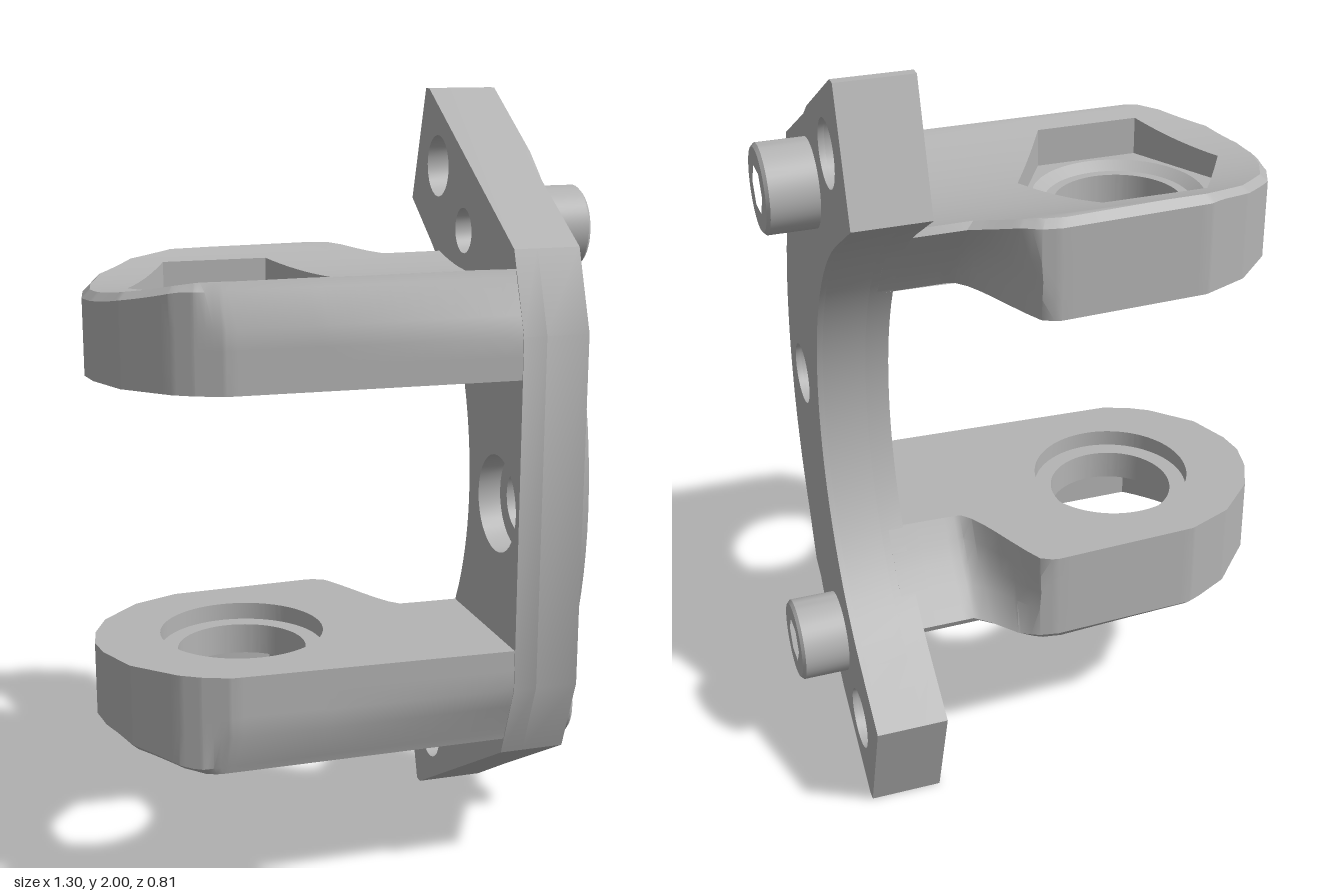
import * as THREE from 'three';
import { toCreasedNormals } from 'three/addons/utils/BufferGeometryUtils.js';

const CZ = -0.65, R_OUT = 1.055, R_IN = 0.72; // arcs of the curved plate, centred at y = 1
const arcZ = (y, r) => CZ + Math.sqrt(Math.max(0, r * r - (y - 1) ** 2));
const HOLE = [-0.275, 0.05]; // arm bore centre in x, z

// Plan outline of an arm (x, z)
const OUTLINE = [
  [0.38, -0.19], [0.2, -0.19], [0.16, -0.215], [0.1, -0.262], [0.05, -0.288], [0, -0.297],
  [-0.38, -0.28], [-0.5, -0.23], [-0.6, -0.13], [-0.64, -0.04], [-0.655, 0.04], [-0.645, 0.11],
  [-0.6, 0.22], [-0.5, 0.32], [-0.45, 0.35], [-0.38, 0.377], [0.38, 0.404],
];
const HEX = Array.from({ length: 6 }, (_, i) => {
  const a = -i * Math.PI / 3;
  return [HOLE[0] + 0.27 * Math.cos(a), HOLE[1] + 0.27 * Math.sin(a)];
});

// Distance from the bore centre to a polygon along angle a
function rayRadius(poly, a) {
  const dx = Math.cos(a), dz = Math.sin(a);
  let best = 0;
  poly.forEach((p, i) => {
    const q = poly[(i + 1) % poly.length];
    const px = p[0] - HOLE[0], pz = p[1] - HOLE[1], ex = q[0] - p[0], ez = q[1] - p[1];
    const den = dx * ez - dz * ex;
    if (Math.abs(den) < 1e-9) return;
    const t = (px * ez - pz * ex) / den, s = (px * dz - pz * dx) / den;
    if (t > 0 && s > -1e-6 && s < 1 + 1e-6) best = Math.max(best, t);
  });
  return best;
}

// Hollowed top, sloping front and the hollow that runs into the plate's inner arc
const topY = (z) => 1.605 - 0.05 * Math.max(0, 1 - ((z - 0.035) / 0.3) ** 2);
function clampZ(x, y, z) {
  const back = THREE.MathUtils.lerp(-0.32, arcZ(y, R_IN), THREE.MathUtils.smoothstep(x, 0, 0.2));
  return Math.min(Math.max(z, back), 0.405 - Math.max(0, y - 1.45) * 0.4);
}

// Arm: a closed radial section swept round the bore
function armGeometry(lower) {
  const angles = Array.from({ length: 120 }, (_, i) => -Math.PI + (i + 0.5) * Math.PI / 60);
  for (const [x, z] of [...OUTLINE, ...HEX]) angles.push(Math.atan2(z - HOLE[1], x - HOLE[0]));
  angles.sort((a, b) => a - b);
  const rays = angles.filter((a, i) => i === 0 || a - angles[i - 1] > 1e-4);

  const pos = [], index = [];
  let rows = 0;
  for (const a of rays) {
    const R = rayRadius(OUTLINE, a), H = rayRadius(HEX, a);
    const at = (r, y) => {
      const x = HOLE[0] + r * Math.cos(a), z = HOLE[1] + r * Math.sin(a);
      return [x, y, clampZ(x, y, z)];
    };
    const rim = topY(at(R, 1.6)[2]);
    const section = [at(0.165, 1.39), at(0.21, 1.39), at(0.21, 1.345)];
    for (const y of [1.345, 1.4, 1.45, 1.5, rim - 0.02]) section.push(at(R, y));
    for (let k = 0; k <= 8; k++) {
      const p = at(THREE.MathUtils.lerp(R - 0.02, H, k / 8), 1.6);
      p[1] = topY(p[2]);
      section.push(p);
    }
    section.push(at(H, 1.49), at(0.22, 1.49), at(0.19, 1.47), at(0.165, 1.47));
    rows = section.length;
    for (const [x, y, z] of section) pos.push(x, lower ? 2 - y : y, z);
  }
  for (let i = 0; i < rays.length; i++) {
    const n = (i + 1) % rays.length;
    for (let j = 0; j < rows; j++) {
      const m = (j + 1) % rows;
      const A = i * rows + j, B = i * rows + m, C = n * rows + m, D = n * rows + j;
      if (lower) index.push(A, C, B, A, D, C);
      else index.push(A, B, C, A, C, D);
    }
  }
  const g = new THREE.BufferGeometry();
  g.setAttribute('position', new THREE.Float32BufferAttribute(pos, 3));
  g.setIndex(index);
  return toCreasedNormals(g, 0.5);
}

// Shapes are drawn in (z, y) and extruded along x
const pt = ([z, y]) => new THREE.Vector2(-z, y);
const circle = (z, y, r, n = 32) => new THREE.Path(Array.from({ length: n }, (_, i) =>
  pt([z + r * Math.cos(i * 2 * Math.PI / n), y + r * Math.sin(i * 2 * Math.PI / n)])));

function extrudeX(shape, x0, x1, bevel = 0) {
  const g = new THREE.ExtrudeGeometry(shape, {
    depth: x1 - x0 - bevel, bevelEnabled: bevel > 0, bevelSize: bevel, bevelThickness: bevel,
    bevelOffset: -bevel, bevelSegments: 1,
  });
  g.rotateY(Math.PI / 2).translate(x0, 0, 0);
  return toCreasedNormals(g, 0.5);
}

function plateShape(outer, middleRadius) {
  const pts = [...outer, [-0.28, 0], [-0.305, 0], [-0.405, 0.3]];
  for (let i = 0; i <= 32; i++) {
    const y = 0.4 + 1.2 * i / 32;
    pts.push([arcZ(y, R_IN), y]);
  }
  pts.push([-0.405, 1.7], [-0.305, 2], [-0.28, 2]);
  const shape = new THREE.Shape(pts.map(pt));
  shape.holes.push(circle(0.26, 1, middleRadius));
  for (const s of [-1, 1]) {
    shape.holes.push(circle(-0.205, 1 + s * 0.803, 0.08), circle(-0.01, 1 + s * 0.655, 0.058));
  }
  return shape;
}

export function createModel() {
  const model = new THREE.Group();
  const metal = new THREE.MeshStandardMaterial({ color: 0xb4b4b4 });
  metal.name = 'grey metal';
  const add = (geometry, name) => {
    const mesh = new THREE.Mesh(geometry, metal);
    mesh.name = name;
    model.add(mesh);
  };

  // Curved plate: recessed back, main body and thin raised face
  const chamfered = [[0.33, 1.65], [0.405, 1.45], [0.405, 0.55], [0.33, 0.35]];
  const arc = Array.from({ length: 33 }, (_, i) => {
    const y = 1.85 - 1.7 * i / 32;
    return [arcZ(y, R_OUT), y];
  });
  add(extrudeX(plateShape(chamfered, 0.125), 0.34, 0.4), 'plateBack');
  add(extrudeX(plateShape(chamfered, 0.08), 0.4, 0.51), 'plateBody');
  add(extrudeX(plateShape(arc, 0.08), 0.51, 0.525), 'plateFace');

  // Two mirrored arms with hexagonal pockets
  add(armGeometry(false), 'upperArm');
  add(armGeometry(true), 'lowerArm');

  // Socket head bolts
  for (const s of [1, -1]) {
    const y = 1 + s * 0.655;
    const head = new THREE.Shape(circle(-0.01, y, 0.108, 40).getPoints());
    head.holes.push(circle(-0.01, y, 0.066, 6));
    add(extrudeX(head, 0.52, 0.65, 0.008), s > 0 ? 'upperBolt' : 'lowerBolt');
  }
  return model;
}
